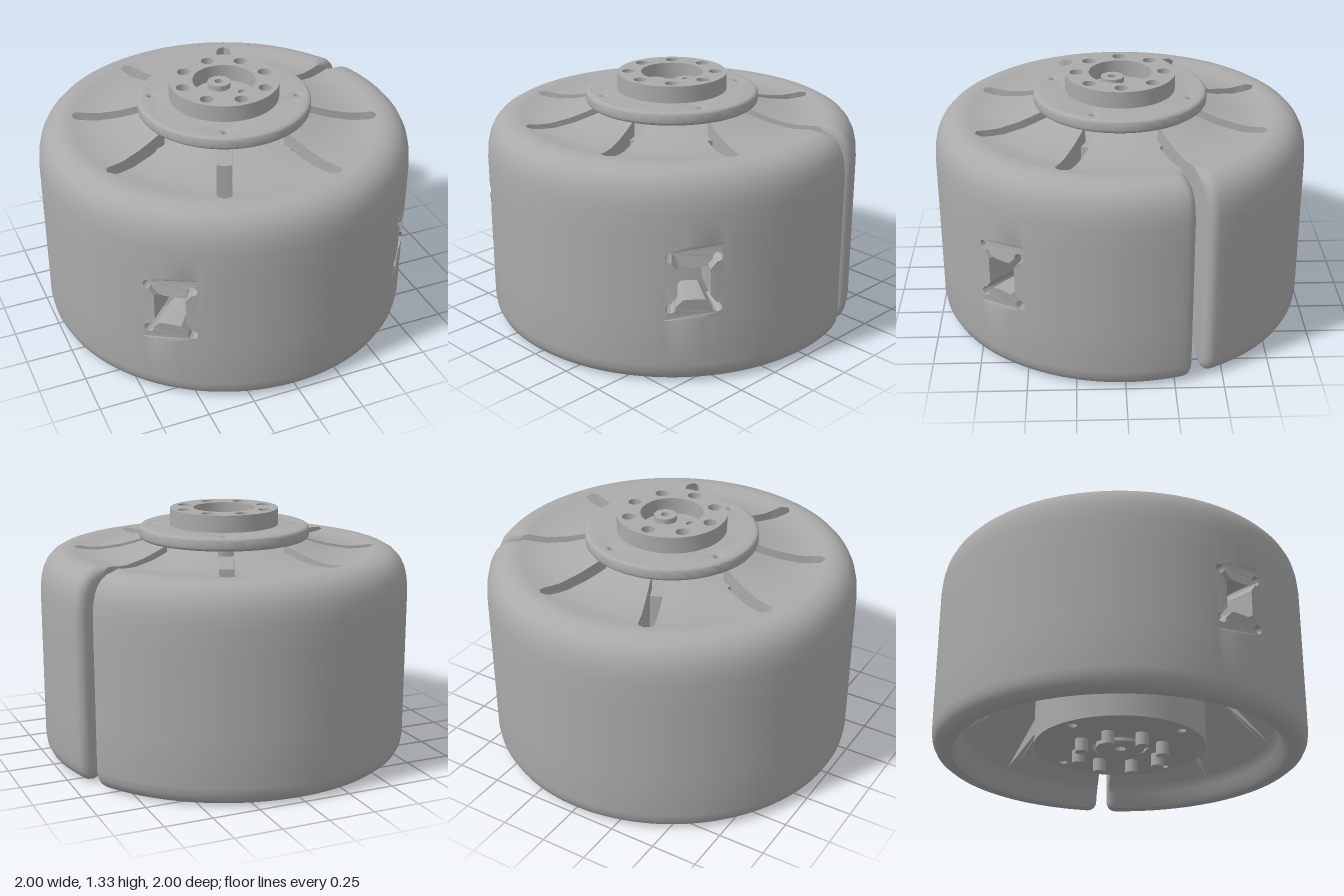
import * as THREE from 'three';
import { toCreasedNormals, mergeGeometries } from 'three/addons/utils/BufferGeometryUtils.js';

const STEP = Math.PI / 4, COLS = 20;
const SLIT_AZ = Math.PI * 0.625;           // direction of the open slit
const W = 0.04, SLOT_END = 0.82;           // half width and outer end of the slots
const SLIT_W = 0.033, LIP = 0.05;          // slit half width and lip rounding
const WIN = { c0: 8, c1: 18, y0: 0.35, y1: 0.75 }; // wall window around a cutout

// Cross-section (radius, height): dished top, rounded rim, wall, hollow underside
const PROFILE = [
  [0.40, 1.17], [0.45, 1.155], [0.5, 1.14], [0.57, 1.122], [0.68, 1.106], [0.74, 1.108], [0.78, 1.112],
  [0.8, 1.115], [0.813, 1.117], [0.82, 1.118], [0.86, 1.119], [0.9, 1.11], [0.935, 1.09], [0.962, 1.06],
  [0.982, 1.02], [0.994, 0.97], [1, 0.9], [1, 0.75], [1, 0.35], [1, 0.1], [0.994, 0.06], [0.978, 0.028],
  [0.952, 0.007], [0.92, 0], [0.89, 0.008], [0.868, 0.035], [0.85, 0.08], [0.82, 0.13], [0.813, 0.135],
  [0.8, 0.145], [0.78, 0.165], [0.7, 0.24], [0.57, 0.38], [0.46, 0.48], [0.40, 0.52],
].map(p => new THREE.Vector2(...p));

const N = PROFILE.length;
const NORMALS = PROFILE.map((p, i) => {
  const t = PROFILE[(i + 1) % N].clone().sub(PROFILE[(i + N - 1) % N]).normalize();
  return new THREE.Vector2(-t.y, t.x);
});

const polar = (r, y, az) => [r * Math.sin(az), y, r * Math.cos(az)];

// Angle by which a slot with a round end cuts back a sector at radius r
function slotAngle(r) {
  const d = r - (SLOT_END - W);
  const half = d <= 0 ? W : d >= W - 1e-6 ? 0 : Math.sqrt(W * W - d * d);
  return Math.asin(half / r);
}

// Rings of the profile on the rounded lip of the slit: [inset, half gap]
const LIP_RINGS = [0, 1, 2, 3, 4, 5].map(i => {
  const a = i / 6 * Math.PI / 2;
  return [LIP * (1 - Math.sin(a)), SLIT_W + LIP * (1 - Math.cos(a))];
});

function lipPoint(i, inset, gap, base, sign) {
  const k = inset * THREE.MathUtils.smoothstep(PROFILE[i].x, 0.8, 0.87);
  const r = PROFILE[i].x - NORMALS[i].x * k, y = PROFILE[i].y - NORMALS[i].y * k;
  return polar(r, y, base + sign * Math.asin(gap / r));
}

// One eighth of the wheel body, between two slots
function addSector(out, k) {
  const az = SLIT_AZ + k * STEP, rings = [];
  const slitLo = k === 0, slitHi = k === 7;
  if (slitLo) LIP_RINGS.forEach(([e, g]) => rings.push(PROFILE.map((p, i) => lipPoint(i, e, g, az, 1))));
  for (let c = 0; c <= COLS; c++) {
    rings.push(PROFILE.map(p => {
      const slit = Math.asin((SLIT_W + LIP) / p.x);
      const lo = slitLo ? slit : slotAngle(p.x), hi = STEP - (slitHi ? slit : slotAngle(p.x));
      return polar(p.x, p.y, az + lo + (hi - lo) * c / COLS);
    }));
  }
  if (slitHi) [...LIP_RINGS].reverse().forEach(([e, g]) =>
    rings.push(PROFILE.map((p, i) => lipPoint(i, e, g, az + STEP, -1))));

  const windowed = k === 4 || k === 6;
  for (let j = 0; j < rings.length - 1; j++) {
    for (let i = 0; i < N; i++) {
      if (windowed && PROFILE[i].y === WIN.y1 && j >= WIN.c0 && j < WIN.c1) continue;
      const n = (i + 1) % N;
      const a = rings[j][i], b = rings[j][n], c = rings[j + 1][n], d = rings[j + 1][i];
      out.push(...a, ...b, ...c, ...a, ...c, ...d);
    }
  }
  // Slot walls
  const first = rings[0], last = rings[rings.length - 1];
  for (const [a, b0, c0] of THREE.ShapeUtils.triangulateShape(PROFILE.slice(), [])) {
    const ccw = THREE.ShapeUtils.area([PROFILE[a], PROFILE[b0], PROFILE[c0]]) > 0;
    const [b, c] = ccw ? [b0, c0] : [c0, b0];
    out.push(...first[a], ...first[b], ...first[c], ...last[a], ...last[c], ...last[b]);
  }
}

// Outline of the four-armed cutout, in wall coordinates
function cutoutPoints() {
  const pts = [];
  for (const base of [0.86, Math.PI - 0.86, Math.PI + 0.86, -0.86]) {
    const put = (along, across) => pts.push(new THREE.Vector2(
      along * Math.cos(base) - across * Math.sin(base), along * Math.sin(base) + across * Math.cos(base)));
    put(0.085, -0.035); put(0.105, -0.016); put(0.155, -0.014);
    for (let i = -3; i <= 3; i++) put(0.178 + 0.026 * Math.cos(i * 0.7), 0.026 * Math.sin(i * 0.7));
    put(0.155, 0.014); put(0.105, 0.016); put(0.085, 0.035);
  }
  return pts;
}

// Bends a flat geometry round the wheel axis
function bend(geo, az, radius) {
  const p = geo.attributes.position;
  for (let i = 0; i < p.count; i++) p.setXYZ(i, ...polar(radius, p.getY(i) + 0.55, az + p.getX(i)));
  const flat = geo.toNonIndexed();
  flat.deleteAttribute('uv');
  flat.deleteAttribute('normal');
  return flat;
}

function windowPanel(az) {
  const half = (WIN.c1 - WIN.c0) / 2, du = STEP / COLS, pts = [];
  for (let i = -half; i <= half; i++) pts.push(new THREE.Vector2(i * du, WIN.y0 - 0.55));
  for (let i = half; i >= -half; i--) pts.push(new THREE.Vector2(i * du, WIN.y1 - 0.55));
  const shape = new THREE.Shape(pts);
  shape.holes.push(new THREE.Path(cutoutPoints()));
  return bend(new THREE.ShapeGeometry(shape), az, 1);
}

function pocketGeometry(az) {
  const pts = cutoutPoints(), pos = [], R = 0.78;
  pts.forEach((p, i) => {
    const q = pts[(i + 1) % pts.length];
    const a = polar(1, p.y + 0.55, az + p.x), b = polar(1, q.y + 0.55, az + q.x);
    const c = polar(R, q.y + 0.55, az + q.x), d = polar(R, p.y + 0.55, az + p.x);
    pos.push(...a, ...b, ...c, ...a, ...c, ...d);
  });
  const wall = new THREE.BufferGeometry().setAttribute('position', new THREE.Float32BufferAttribute(pos, 3));
  return toCreasedNormals(mergeGeometries([wall, bend(new THREE.ShapeGeometry(new THREE.Shape(pts)), az, R)]), 0.6);
}

// Round plate with holes [x, z, radius], between two heights
function plate(radius, y0, y1, holes, bevel = 0) {
  const shape = new THREE.Shape().absarc(0, 0, radius - bevel, 0, Math.PI * 2);
  for (const [x, z, r] of holes) shape.holes.push(new THREE.Path().absarc(x, -z, r + bevel, 0, Math.PI * 2, true));
  const geo = new THREE.ExtrudeGeometry(shape, {
    depth: y1 - y0 - 2 * bevel, curveSegments: 40, bevelEnabled: bevel > 0,
    bevelSize: bevel, bevelThickness: bevel, bevelSegments: 4,
  });
  geo.rotateX(-Math.PI / 2).translate(0, y0 + bevel, 0);
  return toCreasedNormals(geo, 0.6);
}

const circle = (n, radius, start = 0) => Array.from({ length: n }, (_, i) => {
  const a = start + i / n * Math.PI * 2;
  return [radius * Math.cos(a), radius * Math.sin(a)];
});

export function createModel() {
  const model = new THREE.Group();
  const grey = new THREE.MeshStandardMaterial({ color: 0xaaaaaa, side: THREE.DoubleSide });
  grey.name = 'grey';
  const add = (name, geo, x = 0, y = 0, z = 0) => {
    const mesh = new THREE.Mesh(geo, grey);
    mesh.name = name;
    mesh.position.set(x, y, z);
    model.add(mesh);
  };

  // Slotted wheel body
  const pos = [];
  for (let k = 0; k < 8; k++) addSector(pos, k);
  const body = new THREE.BufferGeometry().setAttribute('position', new THREE.Float32BufferAttribute(pos, 3));
  const cutAz = [4, 6].map(k => SLIT_AZ + (k + (WIN.c0 + WIN.c1) / 2 / COLS) * STEP);
  add('wheelBody', toCreasedNormals(mergeGeometries([body, ...cutAz.map(windowPanel)]), 0.6));
  cutAz.forEach(az => add('cutoutPocket', pocketGeometry(az)));

  // Top flange and raised bolt ring
  const flangeHoles = circle(4, 0.39, 0.385);
  const boltSpots = circle(8, 0.233);
  add('topFlange', plate(0.463, 1.17, 1.24, flangeHoles.map(p => [...p, 0.012]), 0.02));
  add('boltRing', plate(0.293, 1.235, 1.33, [[0, 0, 0.167], ...boltSpots.map(p => [...p, 0.036])]));
  for (const [x, z] of flangeHoles) add('flangeScrew', new THREE.CylinderGeometry(0.02, 0.02, 0.04, 16), x, 1.195, z);
  for (const [x, z] of boltSpots) add('ringBolt', new THREE.ConeGeometry(0.034, 0.025, 20), x, 1.255, z);
  for (const [x, z] of circle(3, 0.1, 0.65))
    add('centreScrew', plate(0.062, 1.235, 1.27, [[0, 0, 0.024]]), x, 0, z);

  // Inner hub with shaft, end plate and drive pins
  add('shaft', new THREE.CylinderGeometry(0.12, 0.12, 0.14, 32), 0, 1.11, 0);
  add('hubDrum', new THREE.CylinderGeometry(0.46, 0.46, 0.98, 64), 0, 0.59, 0);
  add('hubEndPlate', plate(0.46, 0.07, 0.105, [[0, 0, 0.15], ...circle(4, 0.4, 0.385).map(p => [...p, 0.025])]));
  add('centreBoss', plate(0.13, 0.06, 0.105, [[0, 0, 0.03]]));
  for (const [x, z] of circle(8, 0.233)) add('drivePin', new THREE.CylinderGeometry(0.034, 0.034, 0.1, 20), x, 0.05, z);
  return model;
}
